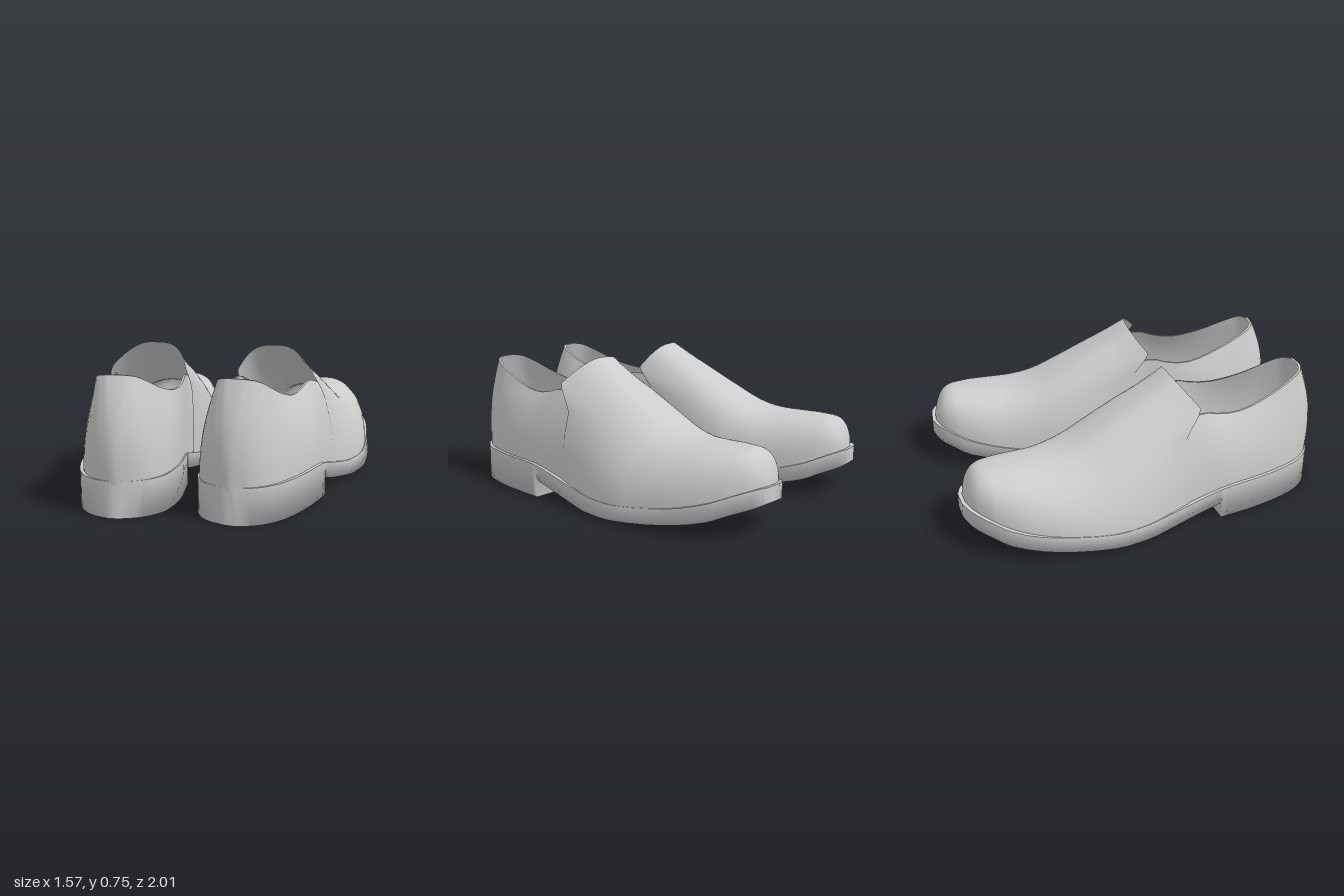
import * as THREE from 'three';

// Sole stations: z, outer x, inner x, underside y, top edge y
const SOLE = [
  [-1, -0.45, -0.35, 0.17, 0.25], [-0.97, -0.53, -0.28, 0.155, 0.245],
  [-0.9, -0.61, -0.22, 0.13, 0.22], [-0.8, -0.68, -0.175, 0.09, 0.18],
  [-0.6, -0.745, -0.14, 0.05, 0.13], [-0.3, -0.785, -0.105, 0.02, 0.095],
  [-0.1, -0.765, -0.12, 0.018, 0.095], [0, -0.74, -0.14, 0.025, 0.105],
  [0.2, -0.705, -0.165, 0.06, 0.145], [0.37, -0.695, -0.157, 0.1, 0.18],
  [0.6, -0.665, -0.14, 0.1, 0.185], [0.8, -0.61, -0.165, 0.1, 0.185],
  [0.9, -0.55, -0.22, 0.1, 0.185], [0.95, -0.49, -0.285, 0.1, 0.185],
  [0.98, -0.415, -0.365, 0.1, 0.185],
];
// Vamp ridge: z, ridge x, ridge y, outer roundness, inner roundness
const VAMP = [
  [-0.98, -0.4, 0.26, 3, 3], [-0.96, -0.4, 0.33, 3, 3], [-0.92, -0.4, 0.395, 2.6, 2.6],
  [-0.86, -0.4, 0.415, 2.5, 2.6], [-0.6, -0.42, 0.42, 2.1, 2.6], [-0.5, -0.42, 0.43, 2, 2.8],
  [-0.4, -0.42, 0.46, 1.85, 2.9], [-0.3, -0.42, 0.51, 1.75, 3], [0, -0.41, 0.67, 1.85, 3.5],
  [0.14, -0.4, 0.75, 2, 4],
];
// Opening rim: z, outer x, inner x, y
const RIM = [
  [0.08, -0.61, -0.18, 0.54], [0.25, -0.585, -0.18, 0.59], [0.38, -0.57, -0.18, 0.557],
  [0.5, -0.56, -0.195, 0.553], [0.65, -0.54, -0.23, 0.59], [0.8, -0.515, -0.265, 0.65],
  [0.87, -0.485, -0.3, 0.68], [0.9, -0.43, -0.35, 0.69],
];
const HEEL_Z = 0.33;

const { clamp, lerp, smoothstep } = THREE.MathUtils;

// Smooth (Hermite) lookup of every column of a table at z
function at(table, z) {
  const last = table.length - 1;
  z = clamp(z, table[0][0], table[last][0]);
  let i = 0;
  while (i < last - 1 && z > table[i + 1][0]) i++;
  const slope = (k, c) => {
    const a = table[Math.max(k - 1, 0)], b = table[Math.min(k + 1, last)];
    return (b[c] - a[c]) / (b[0] - a[0]);
  };
  const h = table[i + 1][0] - table[i][0], t = (z - table[i][0]) / h, u = 1 - t;
  return table[i].map((p, c) => c === 0 ? z :
    p * (1 + 2 * t) * u * u + slope(i, c) * h * t * u * u +
    table[i + 1][c] * t * t * (3 - 2 * t) - slope(i + 1, c) * h * t * t * u);
}

// The z of every station, each gap split in three
function stations(table) {
  return table.flatMap(([z], i) => i === 0 ? [z] :
    [1, 2, 3].map((k) => lerp(table[i - 1][0], z, k / 3)));
}

// Smooth skin over rows of points; side = -1 mirrors across x
function skin(rows, side) {
  const n = rows[0].length, pos = [], idx = [];
  rows.forEach((r) => r.forEach(([x, y, z]) => pos.push(x * side, y, z)));
  for (let i = 0; i < rows.length - 1; i++) {
    for (let j = 0; j < n - 1; j++) {
      const a = i * n + j, b = a + 1, c = b + n, d = a + n;
      if (side > 0) idx.push(a, b, d, b, c, d);
      else idx.push(a, d, b, b, d, c);
    }
  }
  const g = new THREE.BufferGeometry();
  g.setAttribute('position', new THREE.Float32BufferAttribute(pos, 3));
  g.setIndex(idx);
  g.computeVertexNormals();
  return g;
}

// Sole with the heel block stepped down behind HEEL_Z;
// the top edge is doubled to stay sharp
function soleGeometry(side) {
  const zs = [...stations(SOLE), HEEL_Z, HEEL_Z + 0.004].sort((a, b) => a - b);
  const rows = zs.map((z) => {
    const [, l, r, b, t] = at(SOLE, z);
    const flare = 0.016 * (1 - smoothstep(Math.abs(z + 0.3), 0.2, 0.5));
    const low = z > HEEL_Z ? 0 : b;
    return [[r, t, z], [l + flare, t, z], [l + flare, t, z], [l, low, z],
      [r - flare, low, z], [r, t, z]];
  });
  const tip = (r) => r.map(([, y, z]) => [-0.395, y, z]);
  return skin([tip(rows[0]), ...rows, tip(rows[rows.length - 1])], side);
}

// Arched front of the upper, ending in a flap over the instep
function vampGeometry(side) {
  const N = 40;
  const rows = stations(VAMP).map((z) => {
    const [, ax, top, nl, nr] = at(VAMP, z);
    const [, l, r, , st] = at(SOLE, z < 0 ? z / 0.982 : z);
    const k = smoothstep(z, -0.1, 0.14), row = [];
    for (let j = 0; j <= N; j++) {
      const a = Math.PI * j / N, outer = j > N / 2, n = outer ? nl : nr;
      const f = Math.pow(Math.max(Math.sin(a), 0), 2 / n);
      const w = Math.pow(Math.abs(Math.cos(a)), 2 / n);
      const foot = outer ? l + 0.018 : r - 0.006;
      const flap = k * clamp((f - 0.6) / 0.2, 0, 1) * clamp((1 - f) / 0.2, 0, 1);
      row.push([lerp(ax, foot, w) + flap * (outer ? -0.02 : 0.008),
        lerp(st - 0.02, top, f), z + 0.1 * flap]);
    }
    return row;
  });
  const tip = rows[0].map(() => [-0.4, 0.23, -0.98]);
  return skin([tip, ...rows], side);
}

// Wall around the heel from sole to rim, with a thin turned-in lip
function quarterGeometry(side) {
  const zs = stations(SOLE).filter((z) => z > 0.02);
  const level = (v, lip = 0) => {
    const half = (c) => zs.map((z) => {
      const s = at(SOLE, z), rz = lerp(0.02, 0.9, (z - 0.02) / 0.96), rim = at(RIM, rz);
      const lean = Math.pow(v, 2.3), foot = s[c] + (c === 1 ? 0.018 : -0.008);
      const y = lerp(s[4] - 0.02, rim[3], v);
      // Near the front the wall follows the arch of the vamp
      const [, ax, top, nl, nr] = at(VAMP, z), n = c === 1 ? nl : nr;
      const f = clamp((y - s[4] + 0.02) / (top - s[4] + 0.02), 0, 1);
      const arch = lerp(ax, foot, Math.pow(1 - Math.pow(f, n), 1 / n) - 0.015);
      let x = lerp(arch, lerp(foot, rim[c], lean), smoothstep(z, 0.13, 0.36));
      let zz = lerp(z, rz, lean);
      zz += 0.02 * Math.sin(Math.PI * v) * smoothstep(z, 0.8, 0.98);
      x = lerp(x, -0.39, 0.08 * lip);
      if (zz > 0.4) zz = lerp(zz, 0.4, 0.04 * lip);
      return [x, y, zz];
    });
    return [...half(1), ...half(2).reverse()];
  };
  const rows = [];
  for (let i = 0; i <= 10; i++) rows.push(level(i / 10));
  rows.push(level(1), level(1, 0.7));
  return skin(rows, side);
}

function shoe(name, side) {
  const material = new THREE.MeshStandardMaterial({ color: 0xcccccc, side: THREE.DoubleSide });
  const g = new THREE.Group();
  g.name = name;
  const parts = { soleAndHeel: soleGeometry, vamp: vampGeometry, quarter: quarterGeometry };
  for (const [part, make] of Object.entries(parts)) {
    const m = new THREE.Mesh(make(side), material);
    m.name = part;
    g.add(m);
  }
  return g;
}

export function createModel() {
  const model = new THREE.Group();
  model.name = 'shoes';
  const straight = shoe('straightShoe', 1);
  // The second shoe is mirrored and its toe turned outward
  const turned = shoe('turnedShoe', -1);
  turned.rotation.y = -0.162;
  turned.position.set(-0.048, 0, -0.035);
  model.add(straight, turned);
  return model;
}
